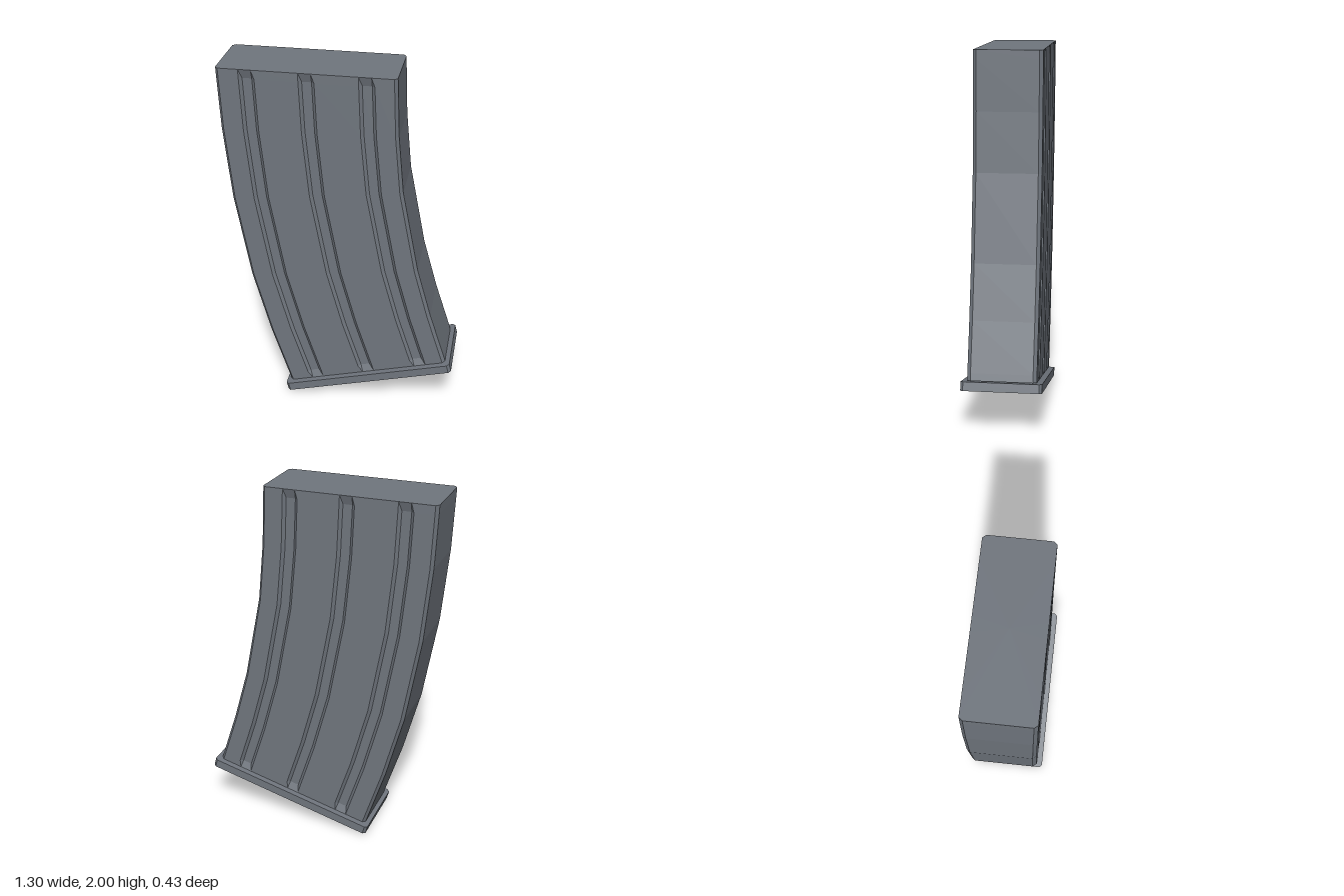
import * as THREE from 'three';

const gunmetal = new THREE.MeshStandardMaterial({ color: 0x70767e, flatShading: true });
gunmetal.name = 'gunmetal grey';

// Stations down the curve: left edge x, y, right edge x, y, groove depth
const DEPTH = 0.015;
const STATIONS = [
  [-0.653, 2.0, 0.297, 2.0, 0],
  [-0.651, 1.95, 0.299, 1.95, DEPTH],
  [-0.637, 1.66, 0.31, 1.68, DEPTH],
  [-0.595, 1.25, 0.34, 1.36, DEPTH],
  [-0.51, 0.77, 0.432, 0.89, DEPTH],
  [-0.41, 0.4, 0.513, 0.6, DEPTH],
  [-0.312, 0.1, 0.598, 0.338, DEPTH],
  [-0.298, 0.057, 0.61, 0.3, 0],
];

// Cross-section: bevelled corners and three grooves on each broad face
function sectionProfile() {
  const half = 0.184, bevel = 0.019, wall = 0.017;
  const front = [[0, half - bevel, 0], [wall, half, 0]];
  for (const u of [0.13, 0.46, 0.79]) {
    const v = u + 0.088;
    front.push([u, half, 0], [u + wall, half, 1], [v - wall, half, 1], [v, half, 0]);
  }
  front.push([1 - wall, half, 0], [1, half - bevel, 0]);
  const back = front.map(([u, z, g]) => [u, -z, g]).reverse();
  return [...front, ...back];
}

// Loft the section along the stations and close both ends
function curvedBody() {
  const profile = sectionProfile(), n = profile.length;
  const pos = [], index = [];
  for (const [lx, ly, rx, ry, depth] of STATIONS) {
    for (const [u, z, g] of profile) {
      pos.push(lx + (rx - lx) * u, ly + (ry - ly) * u, z - Math.sign(z) * g * depth);
    }
  }
  const last = STATIONS.length - 1;
  for (let k = 0; k < last; k++) {
    for (let i = 0; i < n; i++) {
      const j = (i + 1) % n;
      const a = k * n + i, b = k * n + j, c = a + n, d = b + n;
      index.push(a, c, d, a, d, b);
    }
  }
  for (const k of [0, last]) {
    const [lx, ly, rx, ry] = STATIONS[k];
    const centre = pos.length / 3;
    pos.push((lx + rx) / 2, (ly + ry) / 2, 0);
    for (let i = 0; i < n; i++) {
      const a = k * n + i, b = k * n + (i + 1) % n;
      index.push(centre, ...(k === 0 ? [a, b] : [b, a]));
    }
  }
  const geo = new THREE.BufferGeometry();
  geo.setAttribute('position', new THREE.Float32BufferAttribute(pos, 3));
  geo.setIndex(index);
  geo.computeVertexNormals();
  return geo;
}

// Tilted floor plate with clipped corners
function floorPlate() {
  const w = 0.496, d = 0.215, c = 0.015, thick = 0.048;
  const shape = new THREE.Shape([
    [-w + c, -d], [w - c, -d], [w, -d + c], [w, d - c],
    [w - c, d], [-w + c, d], [-w, d - c], [-w, -d + c],
  ].map(([x, y]) => new THREE.Vector2(x, y)));
  const geo = new THREE.ExtrudeGeometry(shape, { depth: thick, bevelEnabled: false });
  geo.translate(0, 0, -thick / 2);
  geo.rotateX(-Math.PI / 2);
  return geo;
}

export function createModel() {
  const group = new THREE.Group();
  group.name = 'curvedMagazine';

  const body = new THREE.Mesh(curvedBody(), gunmetal);
  body.name = 'groovedBody';

  const plate = new THREE.Mesh(floorPlate(), gunmetal);
  plate.name = 'floorPlate';
  plate.rotation.z = THREE.MathUtils.degToRad(15);
  plate.position.set(0.164, 0.152, 0);

  group.add(body, plate);
  return group;
}
